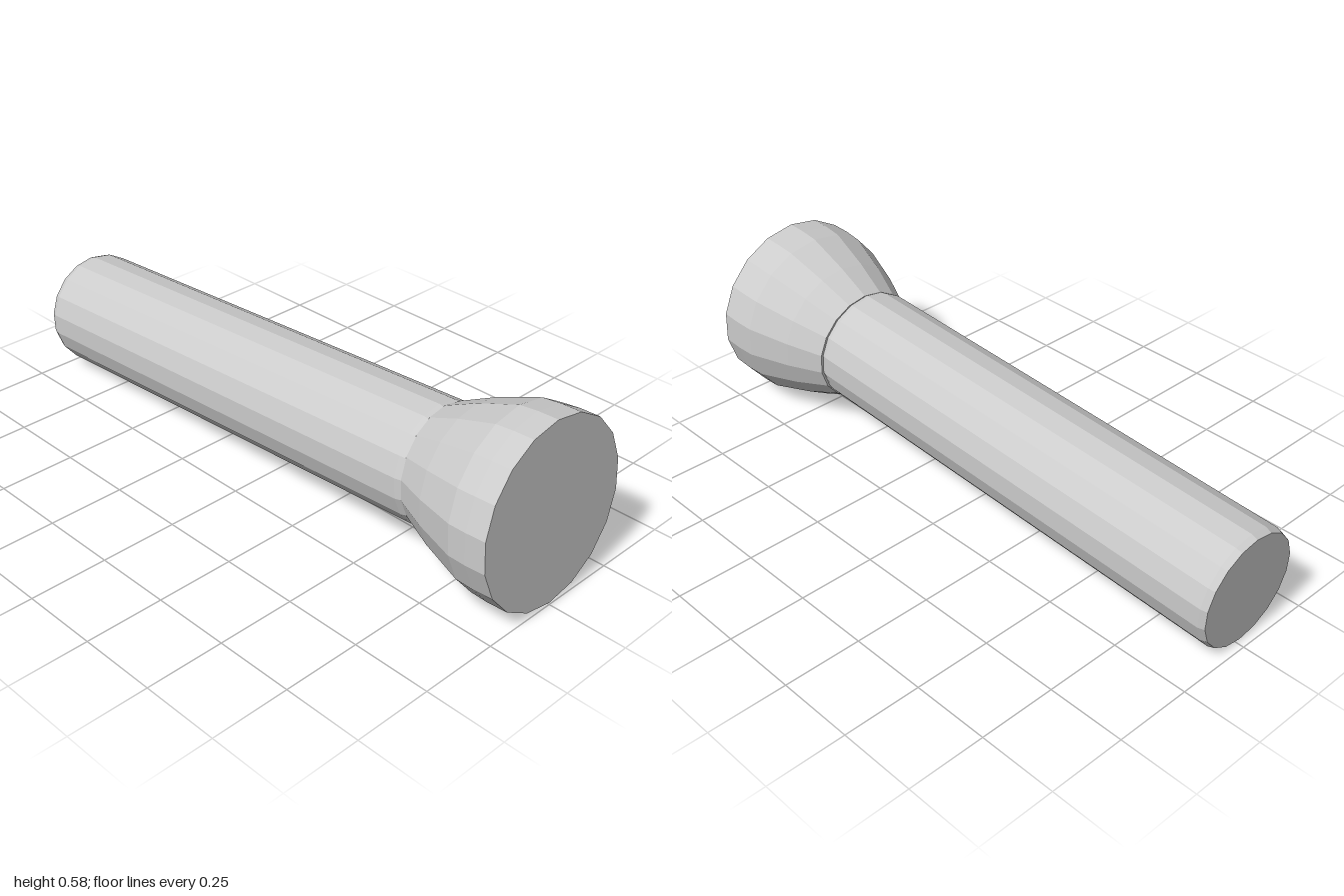
import * as THREE from 'three';

const SIDES = 18;
const material = new THREE.MeshStandardMaterial({ color: 0xcccccc, flatShading: true });

// Faceted solid of revolution; profile is [radius, distance along the axis], back to front
function turned(name, profile) {
  const points = profile.map(([r, s]) => new THREE.Vector2(r, s));
  const mesh = new THREE.Mesh(new THREE.LatheGeometry(points, SIDES), material);
  mesh.name = name;
  return mesh;
}

export function createModel() {
  const torch = new THREE.Group();
  torch.name = 'torch';

  // Straight handle with a slightly eased back rim
  const barrel = turned('barrel', [
    [0, -0.986], [0.18, -0.986], [0.187, -0.965],
    [0.188, 0.59], [0.182, 0.615], [0, 0.615],
  ]);
  barrel.position.x = -0.008;
  barrel.rotation.z = -0.004;

  // Flared head, closed by a flat lens face
  const head = turned('head', [
    [0, 0.605], [0.186, 0.605], [0.236, 0.72],
    [0.283, 0.86], [0.287, 0.92], [0.286, 0.986], [0, 0.986],
  ]);

  // Lay the axis along z, resting on the head rim and the back end
  torch.add(barrel, head);
  torch.rotation.x = Math.PI / 2 - 0.054;
  torch.position.y = 0.243;

  const model = new THREE.Group();
  model.add(torch);
  return model;
}
